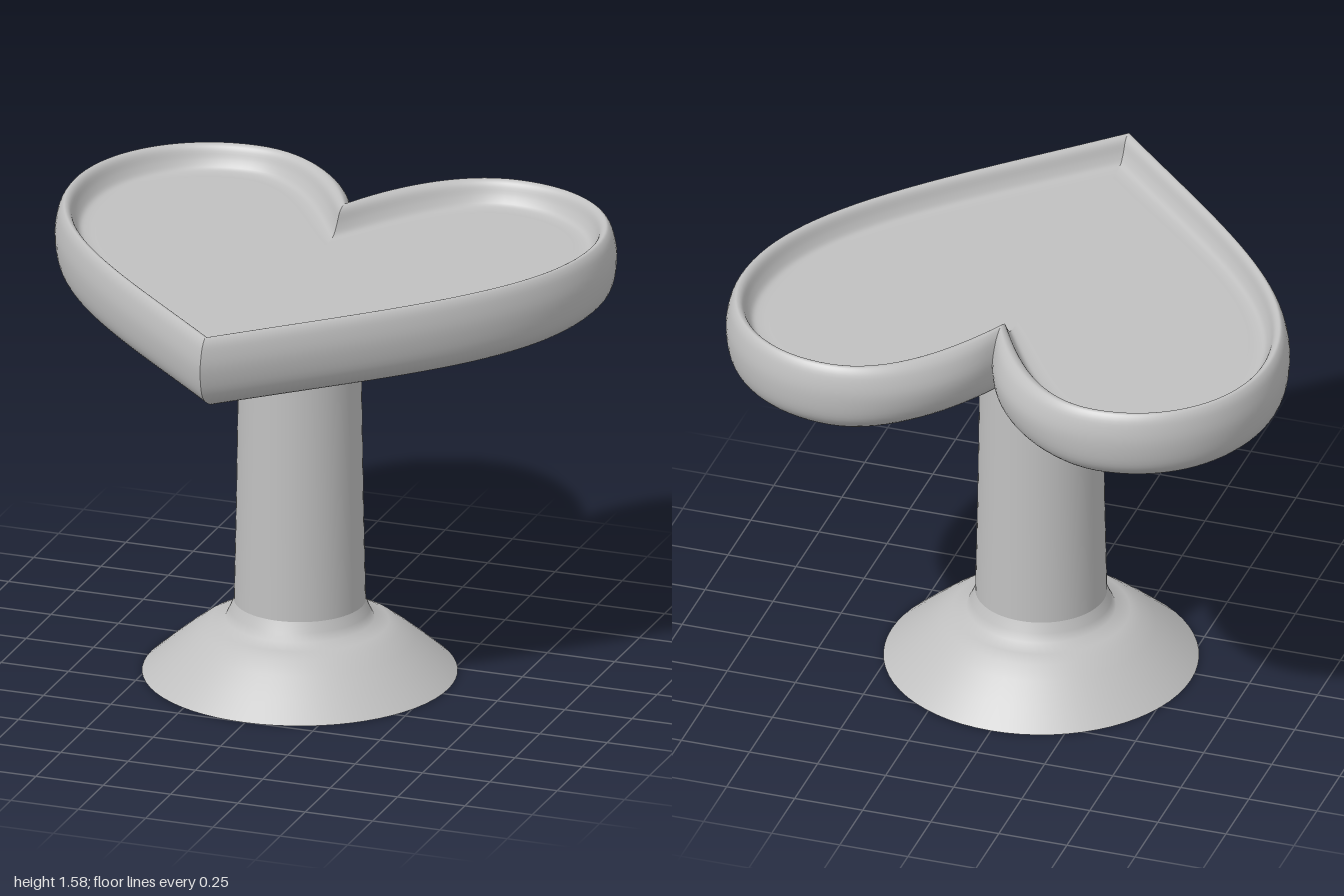
import * as THREE from 'three';

const grey = new THREE.MeshStandardMaterial({ color: 0xc0c0c0, side: THREE.DoubleSide });
grey.name = 'plain grey';

const V = (x, y) => new THREE.Vector2(x, y);

// Half of a heart outline (x >= 0) inset by d, from the cleft round to the tip
function halfHeart(d) {
  const cleft = -0.58 + 0.45 * (1 - Math.exp(-6.2 * d));
  const tip = 0.955 - 1.4 * d;
  const top = V(0.49, -0.96 + d), side = V(1 - d, -0.42);
  const parts = [
    [new THREE.CubicBezierCurve(V(0, cleft), V(0.07 + 0.6 * d, cleft - 0.2), V(0.25 + 0.3 * d, top.y), top), 16],
    [new THREE.CubicBezierCurve(top, V(0.78 - 0.5 * d, top.y), V(side.x, -0.72 + 0.5 * d), side), 20],
    [new THREE.CubicBezierCurve(side, V(side.x, 0.05), V(0.55 - 0.7 * d, 0.42 - 0.7 * d), V(0, tip)), 28],
  ];
  return parts.flatMap(([curve, n], i) => curve.getPoints(n).slice(i ? 1 : 0));
}

// Rim section as (inset, height), from the tray floor over the lip to the underside
const section = new THREE.SplineCurve([
  [0.16, 1.49], [0.125, 1.49], [0.095, 1.497], [0.075, 1.525], [0.06, 1.56], [0.045, 1.574],
  [0.03, 1.572], [0.012, 1.54], [0, 1.47], [0.01, 1.385], [0.04, 1.335], [0.1, 1.298],
  [0.2, 1.275], [0.35, 1.268],
].map(([d, y]) => V(d, y))).getPoints(52);

// One half of the tray; separate halves keep the cleft and tip sharp
function trayHalf(sign) {
  const rows = section.map(p => halfHeart(Math.max(p.x, 0)).map(q => [sign * q.x, p.y, q.y]));
  const n = rows[0].length;
  const hub = y => Array.from({ length: n }, () => [0, y, 0.1]);
  rows.unshift(hub(section[0].y));
  rows.push(hub(section[section.length - 1].y));
  const index = [];
  for (let r = 0; r < rows.length - 1; r++) {
    for (let i = 0; i < n - 1; i++) {
      const a = r * n + i, b = a + 1, c = a + n, d = c + 1;
      if (sign > 0) index.push(a, c, b, b, c, d);
      else index.push(a, b, c, b, d, c);
    }
  }
  // Orient all faces outward by testing the floor, which must face up
  const geometry = new THREE.BufferGeometry();
  geometry.setAttribute('position', new THREE.Float32BufferAttribute(rows.flat(2), 3));
  geometry.setIndex(index);
  geometry.computeVertexNormals();
  if (geometry.attributes.normal.getY(n + 20) < 0) {
    geometry.setIndex(index.reverse());
    geometry.computeVertexNormals();
  }
  return geometry;
}

export function createModel() {
  const model = new THREE.Group();
  model.name = 'heartTrayStand';

  // Heart-shaped tray
  const tray = new THREE.Group();
  tray.name = 'heartTray';
  for (const [sign, name] of [[1, 'trayLeftHalf'], [-1, 'trayRightHalf']]) {
    const half = new THREE.Mesh(trayHalf(sign), grey);
    half.name = name;
    tray.add(half);
  }
  model.add(tray);

  // Hollow pedestal: flared foot and slightly tapered column, open underneath
  const foot = [[0.55, 0], [0.47, 0.07], [0.4, 0.128], [0.35, 0.165], [0.31, 0.185], [0.26, 0.2],
    [0.245, 0.23], [0.23, 0.265]];
  const column = [[0.23, 0.265], [0.222, 0.65], [0.213, 1.28]];
  for (const [name, profile] of [['flaredFoot', foot], ['column', column]]) {
    const mesh = new THREE.Mesh(new THREE.LatheGeometry(profile.map(([r, y]) => V(r, y)), 64), grey);
    mesh.name = name;
    mesh.position.z = -0.045;
    model.add(mesh);
  }
  return model;
}
